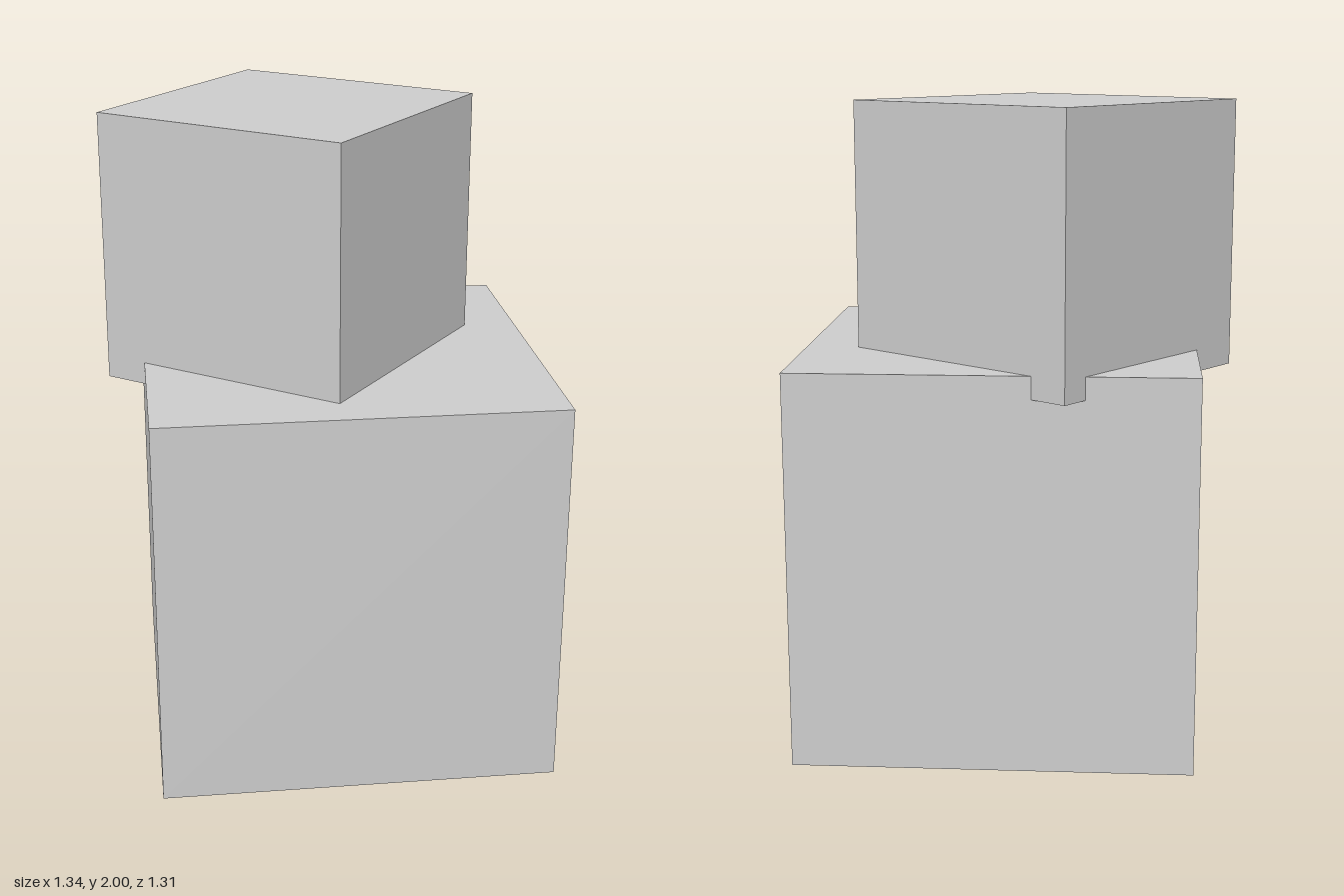
import * as THREE from 'three';

export function createModel() {
  const model = new THREE.Group();
  const grey = new THREE.MeshStandardMaterial({ color: 0xcccccc });
  grey.name = 'light grey';

  const addCube = (name, size, x, y, z, turn = 0) => {
    const mesh = new THREE.Mesh(new THREE.BoxGeometry(size, size, size), grey);
    mesh.name = name;
    mesh.position.set(x, y, z);
    mesh.rotation.y = turn;
    model.add(mesh);
  };

  // Large cube on the ground
  addCube('lowerCube', 1.23, 0.055, 0.615, 0.038);
  // Smaller cube, turned and sunk slightly into the lower one, overhanging two sides
  addCube('upperCube', 0.84, -0.083, 1.58, -0.065, -0.646);

  return model;
}
